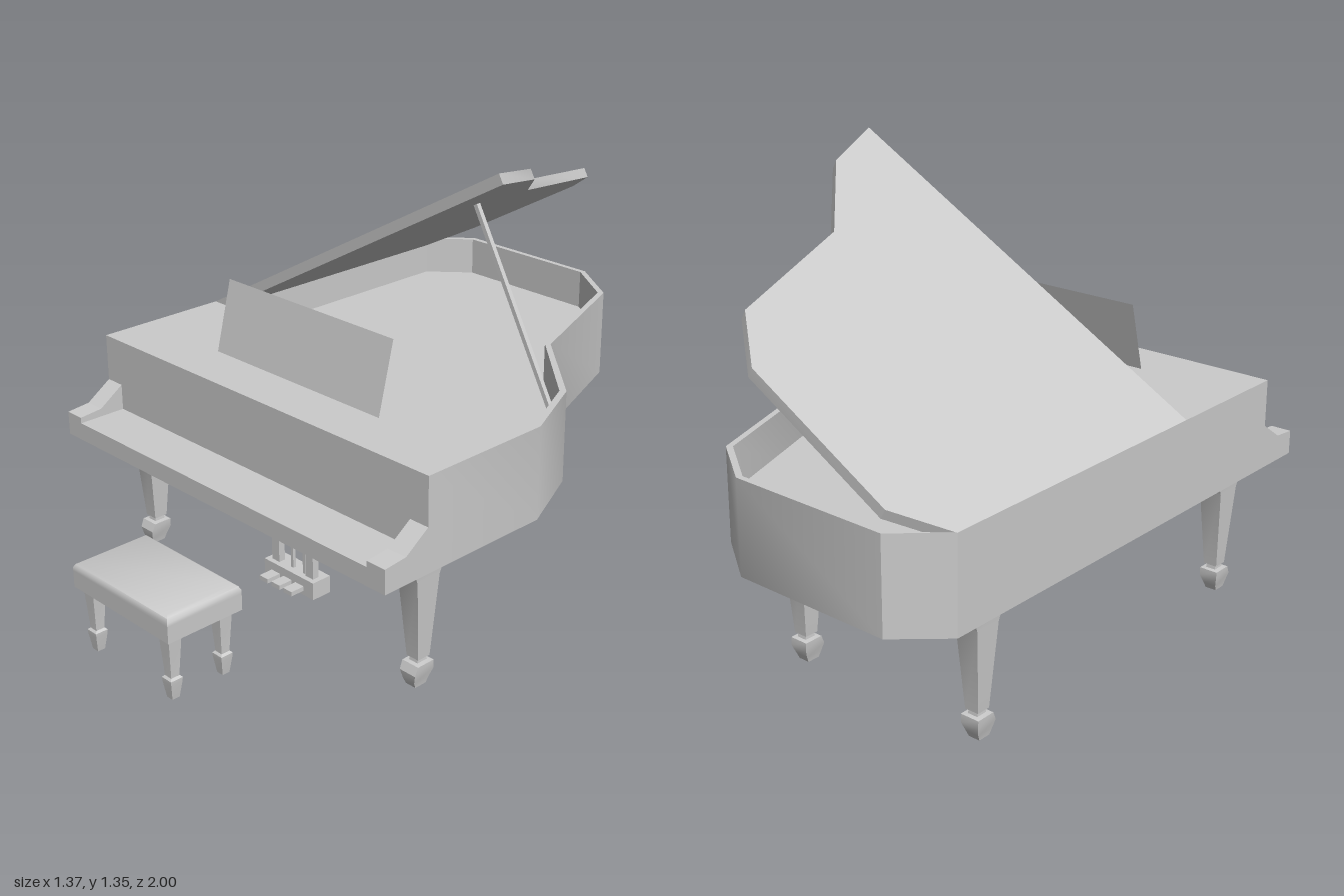
import * as THREE from 'three';
import { toCreasedNormals } from 'three/addons/utils/BufferGeometryUtils.js';

const material = new THREE.MeshStandardMaterial({ color: 0xcccccc });
const thin = new THREE.MeshStandardMaterial({ color: 0xcccccc, side: THREE.DoubleSide });

function part(parent, name, geometry, x = 0, y = 0, z = 0, mat = material) {
  const mesh = new THREE.Mesh(geometry, mat);
  mesh.name = name;
  mesh.position.set(x, y, z);
  parent.add(mesh);
  return mesh;
}

// Box given by its limits on each axis
function block(parent, name, x0, x1, y0, y1, z0, z1) {
  return part(parent, name, new THREE.BoxGeometry(x1 - x0, y1 - y0, z1 - z0),
    (x0 + x1) / 2, (y0 + y1) / 2, (z0 + z1) / 2);
}

// Horizontal plate from an [x, z] outline
function slab(points, y0, y1, hole) {
  const toVectors = (list) => list.map(([x, z]) => new THREE.Vector2(x, -z));
  const shape = new THREE.Shape(toVectors(points));
  if (hole) shape.holes.push(new THREE.Path(toVectors(hole)));
  const geo = new THREE.ExtrudeGeometry(shape, { depth: y1 - y0, bevelEnabled: false });
  geo.rotateX(-Math.PI / 2).translate(0, y0, 0);
  return toCreasedNormals(geo, 0.6);
}

// Rectangular post through sections [y, half width, half depth, z offset], top to bottom
function post(sections, crease = 0.5) {
  const n = sections.length - 1;
  const geo = new THREE.BoxGeometry(2, 1, 2, 1, n, 1);
  const p = geo.attributes.position;
  for (let i = 0; i < p.count; i++) {
    const [y, w, d, dz = 0] = sections[Math.round((0.5 - p.getY(i)) * n)];
    p.setXYZ(i, p.getX(i) * w, y, p.getZ(i) * d + dz);
  }
  return toCreasedNormals(geo, crease);
}

// Straight bar between two points
function bar(parent, name, a, b, width) {
  const from = new THREE.Vector3(...a), to = new THREE.Vector3(...b);
  const mesh = part(parent, name, new THREE.BoxGeometry(width, from.distanceTo(to), width));
  mesh.position.copy(from).add(to).multiplyScalar(0.5);
  mesh.quaternion.setFromUnitVectors(new THREE.Vector3(0, 1, 0), to.sub(from).normalize());
  return mesh;
}

export function createModel() {
  const group = new THREE.Group();
  group.name = 'grandPiano';

  // Case: curved rim around a sunken soundboard
  const curve = [[0.685, 0.085], [0.58, -0.15], [0.315, -0.395], [0.14, -0.87],
    [-0.04, -0.995], [-0.55, -1], [-0.685, -0.88]];
  const inner = [[0.664, 0.085], [0.564, -0.138], [0.3, -0.386], [0.125, -0.858],
    [-0.046, -0.978], [-0.543, -0.982], [-0.667, -0.873], [-0.667, 0.085]];
  part(group, 'caseRim', slab([[-0.685, 0.515], [0.685, 0.515], ...curve], 0.405, 0.685, inner));
  part(group, 'soundboard', slab(inner, 0.405, 0.56));

  // Key shelf with a shaped cheek at each end
  block(group, 'keyShelf', -0.685, 0.685, 0.405, 0.46, 0.515, 0.67);
  const cheek = new THREE.Shape([[0.515, 0.405], [0.67, 0.405], [0.67, 0.478], [0.595, 0.485],
    [0.515, 0.54]].map(([z, y]) => new THREE.Vector2(z, y)));
  for (const right of [0.685, -0.62]) {
    const geo = new THREE.ExtrudeGeometry(cheek, { depth: 0.065, bevelEnabled: false });
    part(group, 'keyCheek', geo.rotateY(-Math.PI / 2), right, 0, 0);
  }

  // Raised lid, hinged along the left of the case
  const lidOutline = [[-0.685, 0.085], ...curve].map(([x, z]) => [x + 0.685, z]);
  const lid = part(group, 'lid', slab(lidOutline, -0.031, 0), -0.685, 0.685, 0);
  lid.rotation.z = THREE.MathUtils.degToRad(29);
  bar(group, 'lidProp', [0.567, 0.56, -0.137], [0.235, 1.165, -0.137], 0.014);

  // Leaning music desk
  const desk = part(group, 'musicDesk', new THREE.PlaneGeometry(0.685, 0.222), 0, 0.792, 0.328, thin);
  desk.rotation.x = -Math.atan2(0.055, 0.215);

  // Four legs with wide brackets and feet
  const legGeo = post([[0.405, 0.04, 0.125], [0.378, 0.04, 0.125], [0.371, 0.04, 0.08],
    [0.355, 0.038, 0.05], [0.335, 0.037, 0.042], [0.085, 0.022, 0.022]]);
  const footGeo = post([[0.085, 0.015, 0.016], [0.072, 0.016, 0.018], [0.07, 0.03, 0.03],
    [0.045, 0.029, 0.036, 0.005], [0.018, 0.021, 0.028, 0.008], [0, 0.018, 0.02, 0.008]]);
  for (const [x, z] of [[-0.58, 0.44], [0.58, 0.44], [-0.58, -0.685], [0.055, -0.685]]) {
    const leg = new THREE.Group();
    leg.name = 'leg';
    leg.position.set(x, 0, z);
    part(leg, 'legPost', legGeo);
    part(leg, 'foot', footGeo);
    group.add(leg);
  }

  // Pedal lyre
  const lyre = new THREE.Group();
  lyre.name = 'pedalLyre';
  group.add(lyre);
  block(lyre, 'pedalBox', -0.1, 0.115, 0.045, 0.1, 0.335, 0.402);
  for (const x of [-0.067, 0.082]) block(lyre, 'lyrePost', x - 0.016, x + 0.016, 0.1, 0.405, 0.364, 0.386);
  for (const x of [0, 0.052]) block(lyre, 'pedalRod', x - 0.005, x + 0.005, 0.1, 0.405, 0.37, 0.38);
  for (const x of [-0.05, 0.003, 0.056]) {
    block(lyre, 'pedal', x - 0.018, x + 0.018, 0.06, 0.074, 0.402, 0.45);
  }

  // Bench with a padded seat
  const bench = new THREE.Group();
  bench.name = 'bench';
  bench.position.z = 0.873;
  group.add(bench);
  part(bench, 'cushion', post([[0.275, 0.195, 0.112], [0.269, 0.205, 0.121],
    [0.258, 0.212, 0.126], [0.248, 0.212, 0.126]], 1.1));
  block(bench, 'seatFrame', -0.212, 0.212, 0.197, 0.248, -0.126, 0.126);
  block(bench, 'apron', -0.185, 0.185, 0.178, 0.197, -0.1, 0.1);
  const benchLeg = post([[0.2, 0.022, 0.022], [0.075, 0.014, 0.014], [0.068, 0.014, 0.014],
    [0.062, 0.02, 0.02], [0.05, 0.019, 0.019], [0, 0.012, 0.012]]);
  for (const x of [-0.17, 0.17]) {
    for (const z of [-0.085, 0.088]) part(bench, 'benchLeg', benchLeg, x, 0, z);
  }
  return group;
}
